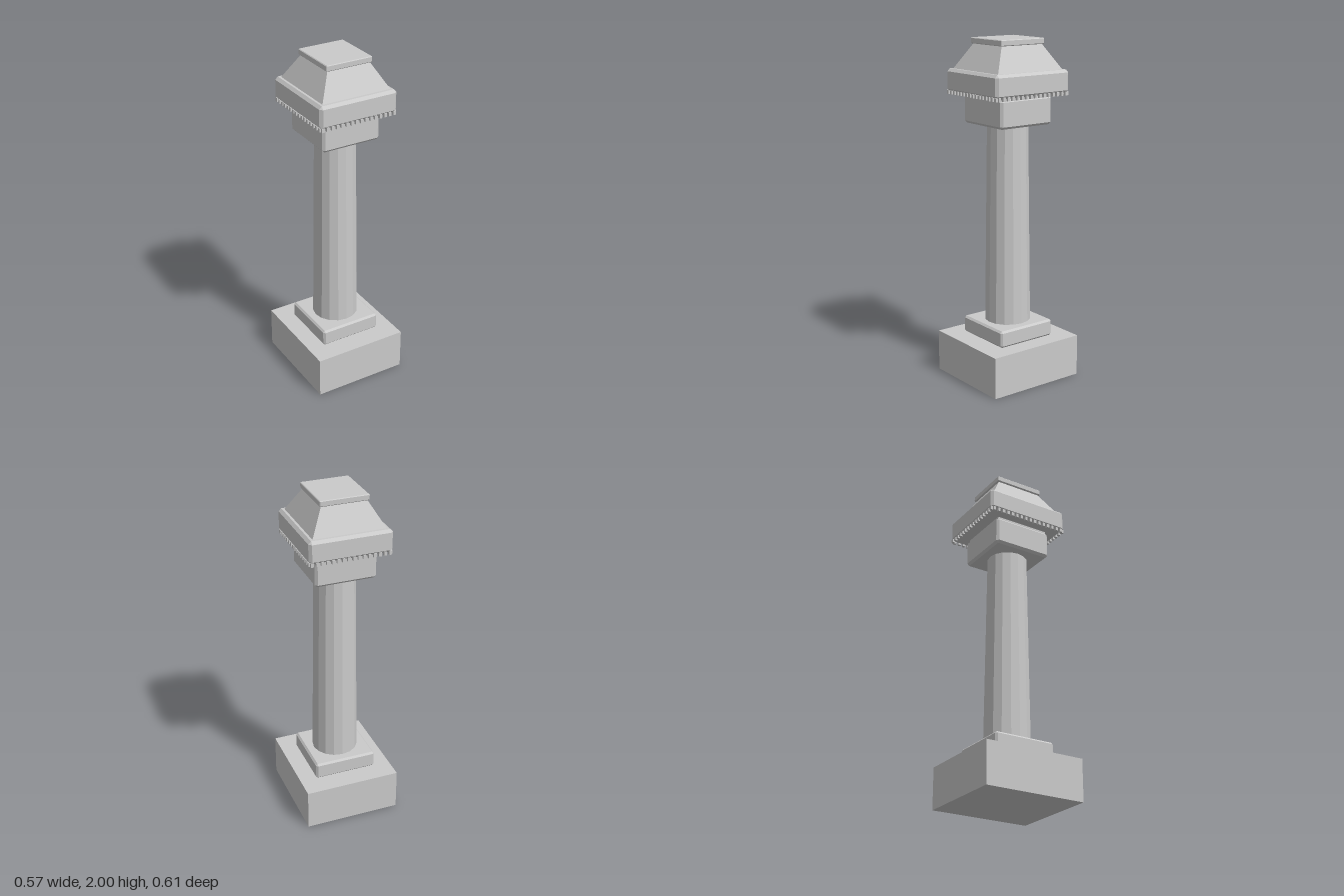
import * as THREE from 'three';
import { ConvexGeometry } from 'three/addons/geometries/ConvexGeometry.js';

// Box with every edge and corner chamfered by c; hx and hz are half sizes
function chamferedBox(hx, hz, y0, y1, c) {
  const points = [], mid = (y0 + y1) / 2, hy = (y1 - y0) / 2;
  for (const sx of [-1, 1]) for (const sy of [-1, 1]) for (const sz of [-1, 1]) {
    for (const [a, b, d] of [[0, c, c], [c, 0, c], [c, c, 0]]) {
      points.push(new THREE.Vector3(sx * (hx - a), mid + sy * (hy - b), sz * (hz - d)));
    }
  }
  return new ConvexGeometry(points);
}

// Four-sided tapering block
function taperedBlock(x0, z0, x1, z1, y0, y1) {
  const g = new THREE.BoxGeometry(2, y1 - y0, 2);
  const p = g.attributes.position;
  for (let i = 0; i < p.count; i++) {
    const top = p.getY(i) > 0;
    p.setXYZ(i, p.getX(i) * (top ? x1 : x0), top ? y1 : y0, p.getZ(i) * (top ? z1 : z0));
  }
  g.computeVertexNormals();
  return g;
}

export function createModel() {
  const model = new THREE.Group();
  model.name = 'pillar';
  const stone = new THREE.MeshStandardMaterial({ color: 0xcacaca, flatShading: true });
  stone.name = 'grey stone';

  const add = (name, geometry, parent = model) => {
    const mesh = new THREE.Mesh(geometry, stone);
    mesh.name = name;
    parent.add(mesh);
    return mesh;
  };

  // Foot and shaft
  add('base', taperedBlock(0.285, 0.305, 0.285, 0.305, 0, 0.245));
  add('plinth', chamferedBox(0.187, 0.187, 0.245, 0.345, 0.011));
  add('shaft', new THREE.CylinderGeometry(0.119, 0.135, 1.18, 16)).position.y = 0.93;

  // Stacked capital
  add('lowerCapital', chamferedBox(0.18, 0.18, 1.515, 1.68, 0.014));
  add('neck', taperedBlock(0.166, 0.166, 0.166, 0.166, 1.67, 1.705));
  add('upperCapital', chamferedBox(0.24, 0.257, 1.693, 1.825, 0.016));
  add('roof', taperedBlock(0.212, 0.227, 0.13, 0.14, 1.822, 1.968));
  add('cap', chamferedBox(0.142, 0.152, 1.966, 2, 0.004));

  // Small teeth under the rim of the upper capital
  const dentils = new THREE.Group();
  dentils.name = 'dentils';
  model.add(dentils);
  const tooth = new THREE.BoxGeometry(0.016, 0.022, 0.016);
  const count = 16;
  for (let i = 0; i < count; i++) {
    const t = (i / (count - 1)) * 2 - 1;
    for (const s of [-1, 1]) {
      add('dentil', tooth, dentils).position.set(t * 0.224, 1.692, s * 0.249);
      add('dentil', tooth, dentils).position.set(s * 0.232, 1.692, t * 0.235);
    }
  }
  return model;
}
